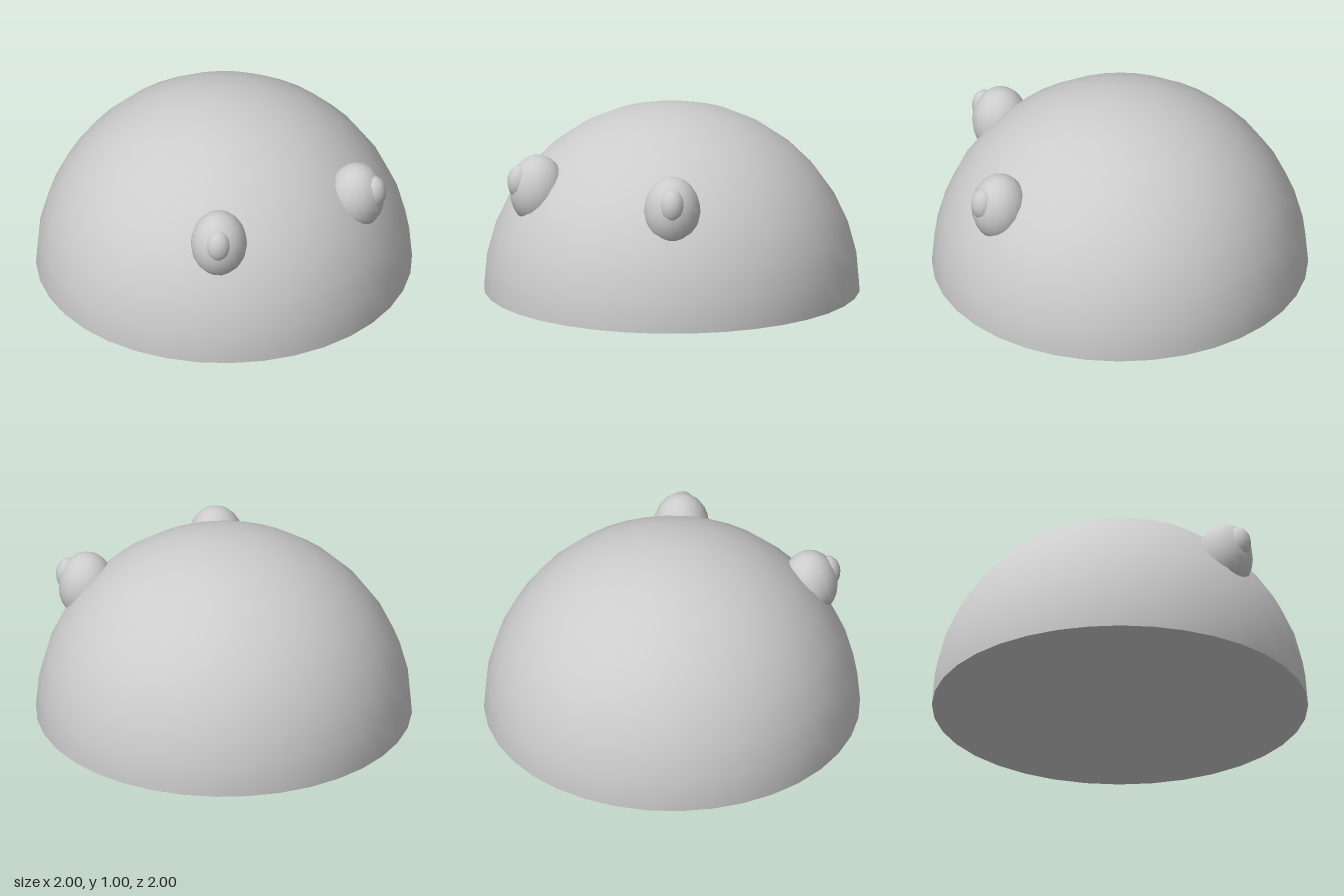
import * as THREE from 'three';

export function createModel() {
  const group = new THREE.Group();
  const grey = new THREE.MeshStandardMaterial({ color: 0xcccccc });
  grey.name = 'light grey';

  const add = (name, geometry) => {
    const mesh = new THREE.Mesh(geometry, grey);
    mesh.name = name;
    group.add(mesh);
    return mesh;
  };

  // Half-sphere body with a flat closed underside
  add('domeBody', new THREE.SphereGeometry(1, 36, 9, 0, Math.PI * 2, 0, Math.PI / 2));
  add('bodyBase', new THREE.CircleGeometry(1, 36)).rotation.x = Math.PI / 2;

  // Upright egg-shaped eyes half sunk into the dome, each with a small raised pupil
  const egg = (name, x, y, z, radius, halfHeight) => {
    const mesh = add(name, new THREE.SphereGeometry(1, 18, 12));
    mesh.position.set(x, y, z);
    mesh.scale.set(radius, halfHeight, radius);
    mesh.rotation.y = Math.atan2(x, z);
  };
  for (const [side, s] of [['left', 1], ['right', -1]]) {
    egg(side + 'Eye', s * 0.432, 0.612, 0.638, 0.15, 0.188);
    egg(side + 'Pupil', s * 0.489, 0.665, 0.723, 0.066, 0.09);
  }
  return group;
}
